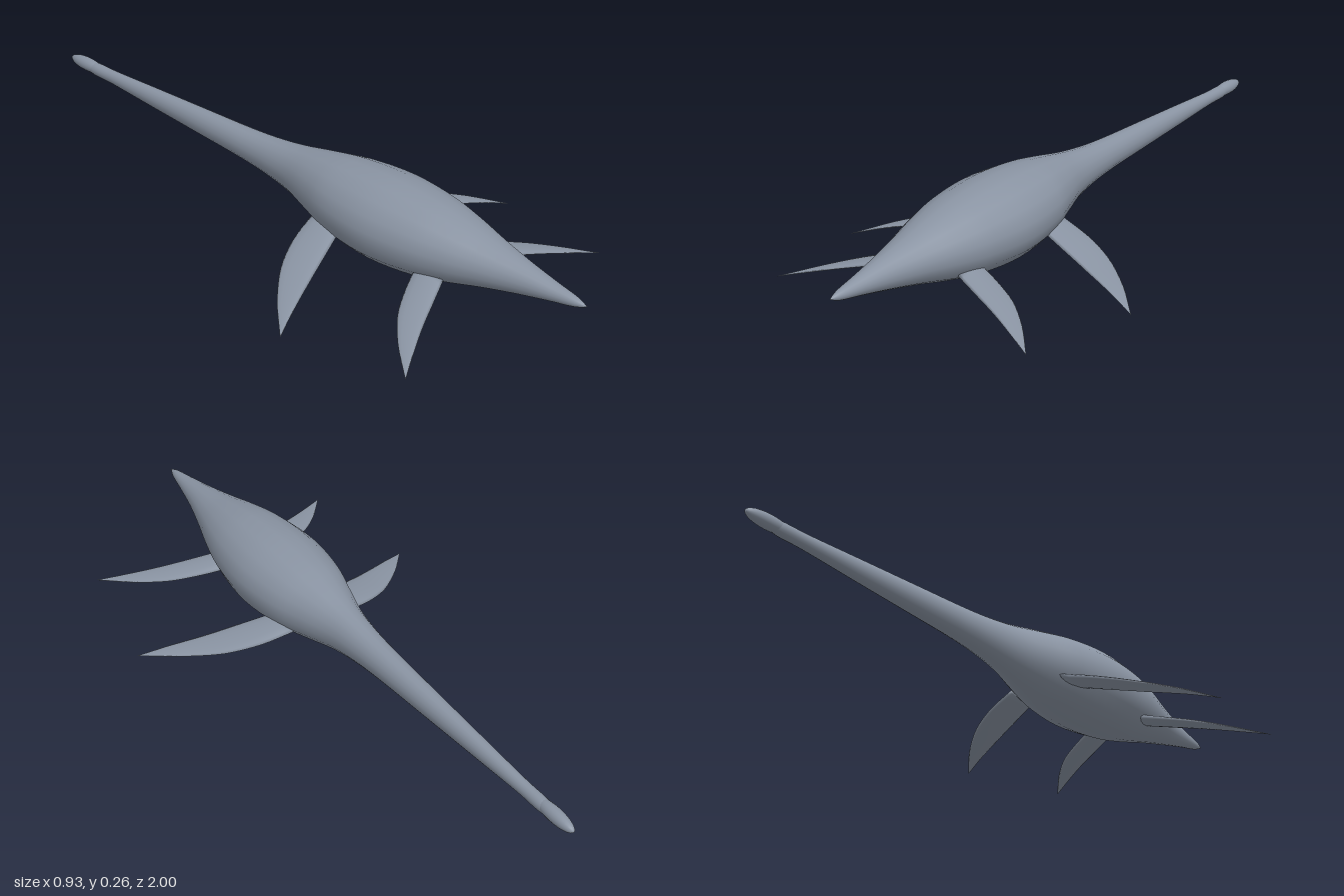
import * as THREE from 'three';

// Skin a row of equal closed rings (arrays of Vector3) with smooth normals
function loft(rings) {
  const n = rings[0].length, pos = [], idx = [];
  rings.forEach(r => r.forEach(p => pos.push(p.x, p.y, p.z)));
  for (let i = 0; i < rings.length - 1; i++) {
    for (let j = 0; j < n; j++) {
      const k = (j + 1) % n;
      const a = i * n + j, b = i * n + k, c = a + n, d = b + n;
      idx.push(a, c, b, b, c, d);
    }
  }
  const g = new THREE.BufferGeometry();
  g.setAttribute('position', new THREE.Float32BufferAttribute(pos, 3));
  g.setIndex(idx);
  g.computeVertexNormals();
  return g;
}

// Points of an ellipse ring: centre + u cos + v sin
function ring(centre, u, v, n) {
  return Array.from({ length: n }, (_, j) => {
    const a = Math.PI / 2 + (j / n) * Math.PI * 2;
    return centre.clone().addScaledVector(u, Math.cos(a)).addScaledVector(v, Math.sin(a));
  });
}

const V = (x, y, z) => new THREE.Vector3(x, y, z);

// Tail tip to neck end: [z, half width, half height]
const bodyStations = [
  [1, 0.0005, 0.0005], [0.97, 0.012, 0.012], [0.9, 0.026, 0.025], [0.8, 0.047, 0.045],
  [0.7, 0.075, 0.066], [0.6, 0.106, 0.09], [0.5, 0.13, 0.109], [0.35, 0.144, 0.12],
  [0.2, 0.125, 0.111], [0.1, 0.094, 0.094], [0, 0.064, 0.073], [-0.1, 0.05, 0.058],
  [-0.2, 0.043, 0.049], [-0.4, 0.034, 0.04], [-0.6, 0.026, 0.031],
  [-0.8, 0.019, 0.021], [-0.9, 0.017, 0.018], [-0.95, 0.001, 0.001],
];

function bodyGeometry() {
  const curve = new THREE.CatmullRomCurve3(bodyStations.map(s => V(s[1], s[2], s[0])));
  const rings = curve.getPoints(68).map(p =>
    ring(V(0, 0.158 - 0.11 * p.y, p.z), V(p.x, 0, 0), V(0, p.y, 0), 18));
  return loft(rings);
}

// Swept-back paddle; stations are [x, leading z, trailing z]
function flipperGeometry(stations, rootY, tipY, side) {
  const lead = new THREE.CatmullRomCurve3(stations.map(s => V(s[0], 0, s[1])));
  const trail = new THREE.CatmullRomCurve3(stations.map(s => V(s[0], 0, s[2])));
  const rings = [], steps = 16;
  for (let i = 0; i <= steps; i++) {
    const t = i / steps;
    const a = lead.getPoint(t), b = trail.getPoint(t);
    const centre = V(side * (a.x + b.x) / 2, THREE.MathUtils.lerp(rootY, tipY, t), (a.z + b.z) / 2);
    const chord = Math.max((b.z - a.z) / 2, 0.0005);
    const thick = 0.012 * (1 - t) + 0.0005;
    // blunt closed root
    if (i === 0) rings.push(ring(centre, V(0, 0, side * 0.001), V(0, 0.0005, 0), 12));
    rings.push(ring(centre, V(0, 0, side * chord), V(0, thick, 0), 12));
  }
  return loft(rings);
}

const foreStations = [
  [0.09, 0.135, 0.245], [0.185, 0.16, 0.28], [0.28, 0.208, 0.315],
  [0.385, 0.298, 0.357], [0.466, 0.39, 0.391],
];
const hindStations = [
  [0.08, 0.51, 0.605], [0.16, 0.545, 0.64], [0.243, 0.592, 0.677],
  [0.323, 0.665, 0.718], [0.402, 0.76, 0.761],
];

export function createModel() {
  const model = new THREE.Group();
  model.name = 'longNeckedSwimmer';
  const skin = new THREE.MeshStandardMaterial({ color: 0x8a94a3 });
  skin.name = 'slateSkin';

  const add = (name, geometry) => {
    const mesh = new THREE.Mesh(geometry, skin);
    mesh.name = name;
    model.add(mesh);
    return mesh;
  };

  // Tail, torso and neck in one smooth hull
  add('body', bodyGeometry());

  // Small pointed head at the end of the neck
  const head = new THREE.SphereGeometry(1, 18, 14);
  head.rotateX(-Math.PI / 2);
  head.scale(0.02, 0.021, 0.075);
  head.translate(0, 0.158, -0.925);
  add('head', head);

  // Two mirrored pairs of flippers
  for (const [label, side] of [['left', 1], ['right', -1]]) {
    add(label + 'ForeFlipper', flipperGeometry(foreStations, 0.09, 0.0005, side));
    add(label + 'HindFlipper', flipperGeometry(hindStations, 0.09, 0.025, side));
  }
  return model;
}
